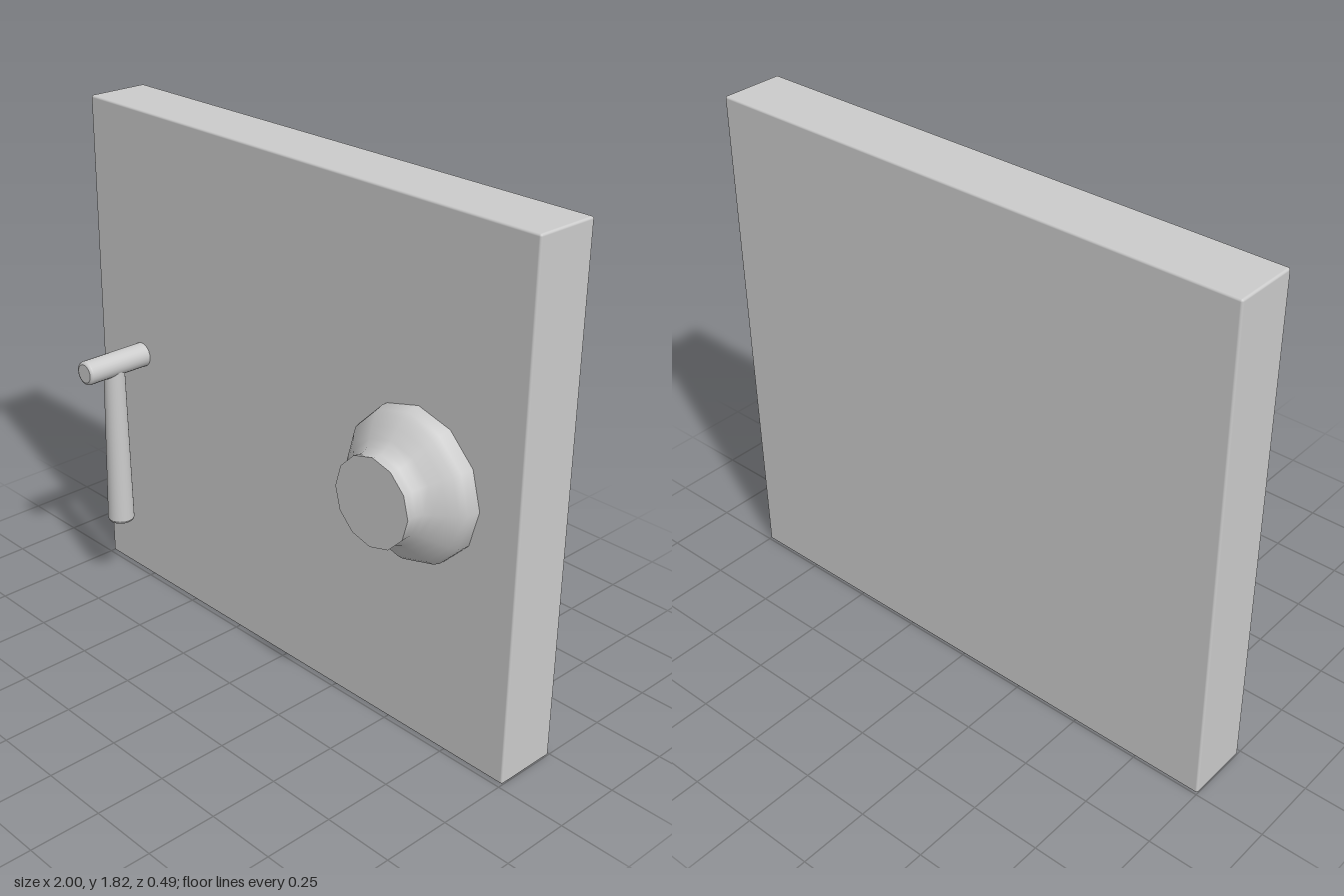
import * as THREE from 'three';
import { RoundedBoxGeometry } from 'three/addons/geometries/RoundedBoxGeometry.js';

const material = new THREE.MeshStandardMaterial({ color: 0xcccccc });

// Lathe with crisp breaks: each profile is smooth within itself
function turned(name, profiles, sides) {
  const group = new THREE.Group();
  group.name = name;
  profiles.forEach((profile, i) => {
    const points = profile.map(([r, y]) => new THREE.Vector2(r, y));
    const mesh = new THREE.Mesh(new THREE.LatheGeometry(points, sides), material);
    mesh.name = `${name}Section${i + 1}`;
    group.add(mesh);
  });
  return group;
}

export function createModel() {
  const model = new THREE.Group();
  model.name = 'doorPanel';

  // Thick slab with finely bevelled edges
  const slab = new THREE.Mesh(new RoundedBoxGeometry(2, 1.82, 0.23, 2, 0.008), material);
  slab.name = 'slab';
  slab.position.set(0, 0.91, -0.13);
  model.add(slab);

  // Twelve-sided flared knob with a flat face
  const knob = turned('knob', [
    [[0.26, -0.02], [0.26, 0.005], [0.253, 0.03], [0.237, 0.05], [0.213, 0.073],
      [0.18, 0.1], [0.16, 0.12], [0.149, 0.143], [0.149, 0.16], [0.152, 0.18]],
    [[0.152, 0.18], [0, 0.18]],
  ], 12);
  knob.rotation.x = Math.PI / 2;
  knob.position.set(0.585, 0.915, 0);
  model.add(knob);

  // Round spindle projecting from the slab
  const spindle = turned('leverSpindle', [
    [[0.044, -0.02], [0.044, 0.235]],
    [[0.044, 0.235], [0.041, 0.242], [0.034, 0.245]],
    [[0.034, 0.245], [0, 0.245]],
  ], 24);
  spindle.rotation.x = Math.PI / 2;
  spindle.position.set(-0.765, 0.915, 0);
  model.add(spindle);

  // Hanging lever, thicker towards its lower end
  const lever = turned('lever', [
    [[0, 0.285], [0.04, 0.285]],
    [[0.04, 0.285], [0.046, 0.288], [0.049, 0.296]],
    [[0.049, 0.296], [0.038, 0.9]],
  ], 24);
  lever.position.set(-0.765, 0, 0.115);
  model.add(lever);

  return model;
}
